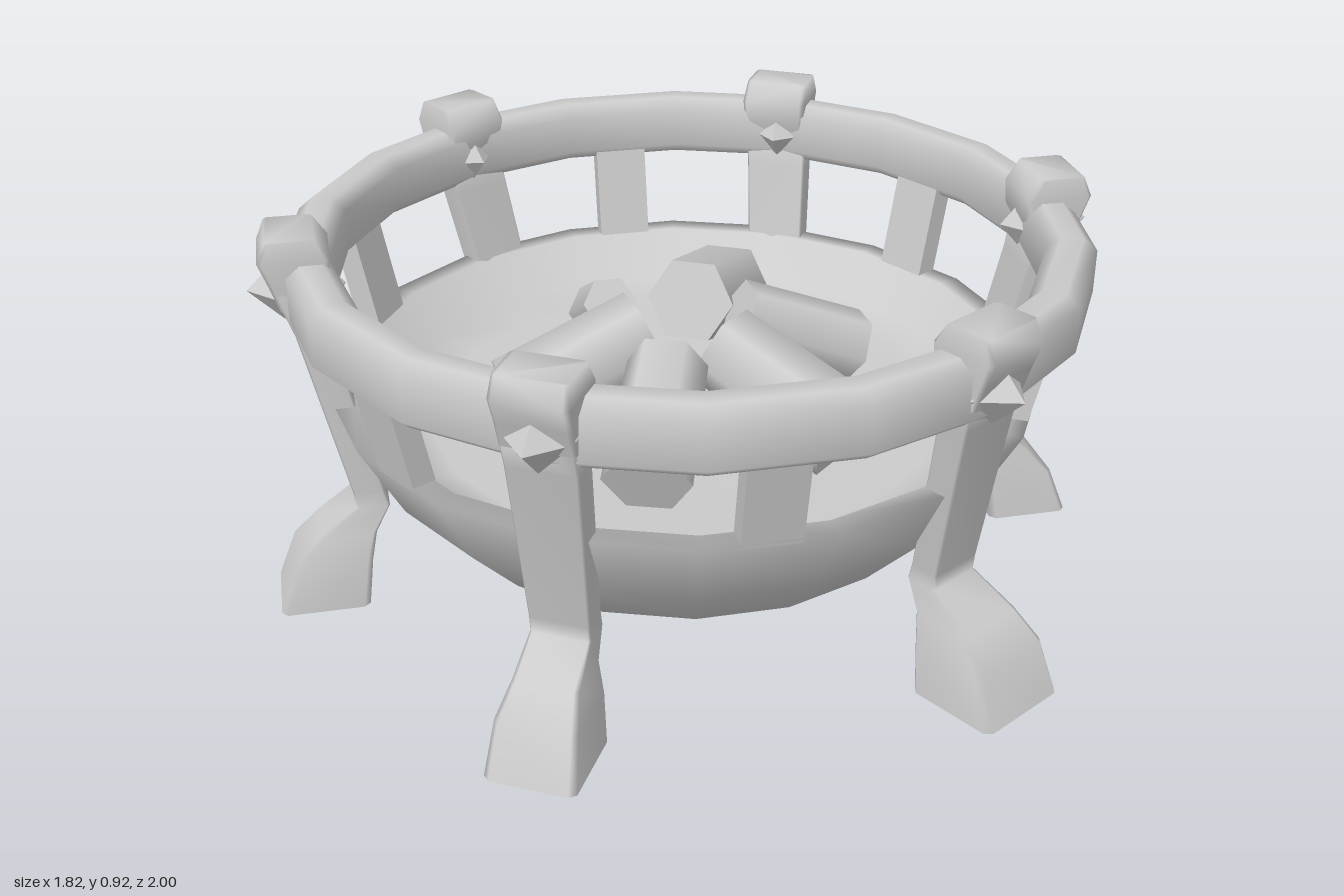
import * as THREE from 'three';

const mat = new THREE.MeshStandardMaterial({ color: 0xcccccc, side: THREE.DoubleSide });
const flatMat = new THREE.MeshStandardMaterial({ color: 0xcccccc, flatShading: true });

function mesh(name, geometry, material = mat) {
  const m = new THREE.Mesh(geometry, material);
  m.name = name;
  return m;
}

function lathe(name, points, segments) {
  return mesh(name, new THREE.LatheGeometry(points.map(p => new THREE.Vector2(...p)), segments));
}

// Loft of lightly chamfered rectangles, closed on top: each section is [y, inner z, outer z, centre x, width]
function loft(sections) {
  const pos = [], index = [], n = 8;
  for (const [y, z0, z1, cx, w] of sections) {
    const b = Math.min(z1 - z0, w) * 0.07, h = w / 2;
    const loop = [[-h + b, z1], [h - b, z1], [h, z1 - b], [h, z0 + b],
      [h - b, z0], [-h + b, z0], [-h, z0 + b], [-h, z1 - b]];
    for (const [x, z] of loop) pos.push(cx + x, y, z);
  }
  for (let s = 0; s < sections.length - 1; s++) {
    for (let i = 0; i < n; i++) {
      const a = s * n + i, b = s * n + (i + 1) % n;
      index.push(a, b, a + n, b, b + n, a + n);
    }
  }
  const o = (sections.length - 1) * n;
  for (let i = 1; i < n - 1; i++) index.push(o, o + i, o + i + 1);
  const g = new THREE.BufferGeometry();
  g.setAttribute('position', new THREE.Float32BufferAttribute(pos, 3));
  g.setIndex(index);
  g.computeVertexNormals();
  return g;
}

// Leg facing +z: open hoof-like foot, ankle, slanted shaft, clasp over the ring and two studs
function makeLeg(topX, footX, toe, footWidth) {
  const leg = new THREE.Group();
  leg.name = 'leg';
  const mix = t => topX + (footX - topX) * t;
  leg.add(mesh('legShaft', loft([
    [0.005, 0.78, toe, footX, footWidth],
    [0.12, 0.765, toe - 0.045, footX, footWidth * 0.9],
    [0.185, 0.75, toe - 0.105, mix(0.95), footWidth * 0.72],
    [0.25, 0.715, 0.79, mix(0.85), 0.135],
    [0.29, 0.725, 0.795, mix(0.82), 0.135],
    [0.7, 0.81, 0.885, mix(0.2), 0.155],
    [0.8, 0.82, 0.92, topX, 0.16],
  ])));
  leg.add(mesh('clasp', loft([
    [0.76, 0.82, 0.91, topX, 0.158],
    [0.82, 0.8, 0.93, topX, 0.16],
    [0.875, 0.795, 0.95, topX, 0.165],
    [0.922, 0.825, 0.93, topX, 0.155],
  ])));
  for (const [z, depth] of [[0.905, 0.075], [0.83, 0.065]]) {
    const stud = mesh('stud', new THREE.OctahedronGeometry(1), flatMat);
    stud.scale.set(0.075, 0.075, depth);
    stud.position.set(0, 0.785, z);
    leg.add(stud);
  }
  return leg;
}

// Six-sided log with a flat face upwards, between two points
function makeLog([x0, z0, x1, z1, radius]) {
  const a = new THREE.Vector3(x0, 0.6, z0), b = new THREE.Vector3(x1, 0.475, z1);
  const geometry = new THREE.CylinderGeometry(radius, radius * 0.92, a.distanceTo(b), 6);
  geometry.rotateY(Math.PI / 6).rotateX(Math.PI / 2);
  const log = mesh('log', geometry);
  log.position.copy(a).add(b).multiplyScalar(0.5);
  log.lookAt(b);
  return log;
}

export function createModel() {
  const model = new THREE.Group();
  model.name = 'fireBowl';

  // Thick shallow bowl
  model.add(lathe('bowl', [
    [0, 0.08], [0.34, 0.085], [0.6, 0.19], [0.73, 0.33], [0.83, 0.515],
    [0.775, 0.515], [0.7, 0.41], [0.6, 0.385], [0, 0.37],
  ], 18));

  // Upper ring with a softened tall section
  const ring = lathe('upperRing', [
    [0.83, 0.72], [0.895, 0.72], [0.917, 0.74], [0.917, 0.84], [0.885, 0.868],
    [0.835, 0.868], [0.805, 0.84], [0.805, 0.745], [0.83, 0.72],
  ], 18);
  ring.position.x = 0.01;
  model.add(ring);

  // Flat uprights leaning out from bowl rim to ring
  for (let i = 0; i < 6; i++) {
    const bar = new THREE.Group();
    bar.name = 'upright';
    const slab = mesh('uprightBar', new THREE.BoxGeometry(0.13, 0.32, 0.055), flatMat);
    slab.position.set(0, 0.665, 0.82);
    slab.rotation.x = 0.21;
    bar.add(slab);
    bar.rotation.y = Math.PI / 6 + i * Math.PI / 3;
    model.add(bar);
  }

  // Three legs, mirrored front to back: turn, then top offset, foot offset, toe reach, foot width
  for (const side of [1, -1]) {
    const legs = new THREE.Group();
    legs.name = side > 0 ? 'frontLegs' : 'backLegs';
    for (const [turn, ...spec] of [
      [-1, 0, -0.02, 0.985, 0.205], [0, 0.01, 0.08, 1, 0.24], [1, -0.01, 0.03, 0.98, 0.205],
    ]) {
      const leg = makeLeg(...spec);
      leg.rotation.y = turn * Math.PI / 3;
      legs.add(leg);
    }
    legs.scale.z = side;
    model.add(legs);
  }

  // Logs leaning towards the middle: inner x, z, outer x, z, radius
  const logs = new THREE.Group();
  logs.name = 'logs';
  for (const spec of [
    [0.1, -0.09, 0.41, -0.29, 0.115], [-0.05, -0.21, 0.06, -0.4, 0.07],
    [-0.09, -0.04, -0.39, -0.15, 0.11], [-0.16, 0.12, -0.4, 0.32, 0.1],
    [-0.01, 0.14, 0.06, 0.46, 0.11], [0.14, 0.04, 0.4, 0.17, 0.09],
  ]) logs.add(makeLog(spec));
  model.add(logs);

  return model;
}
